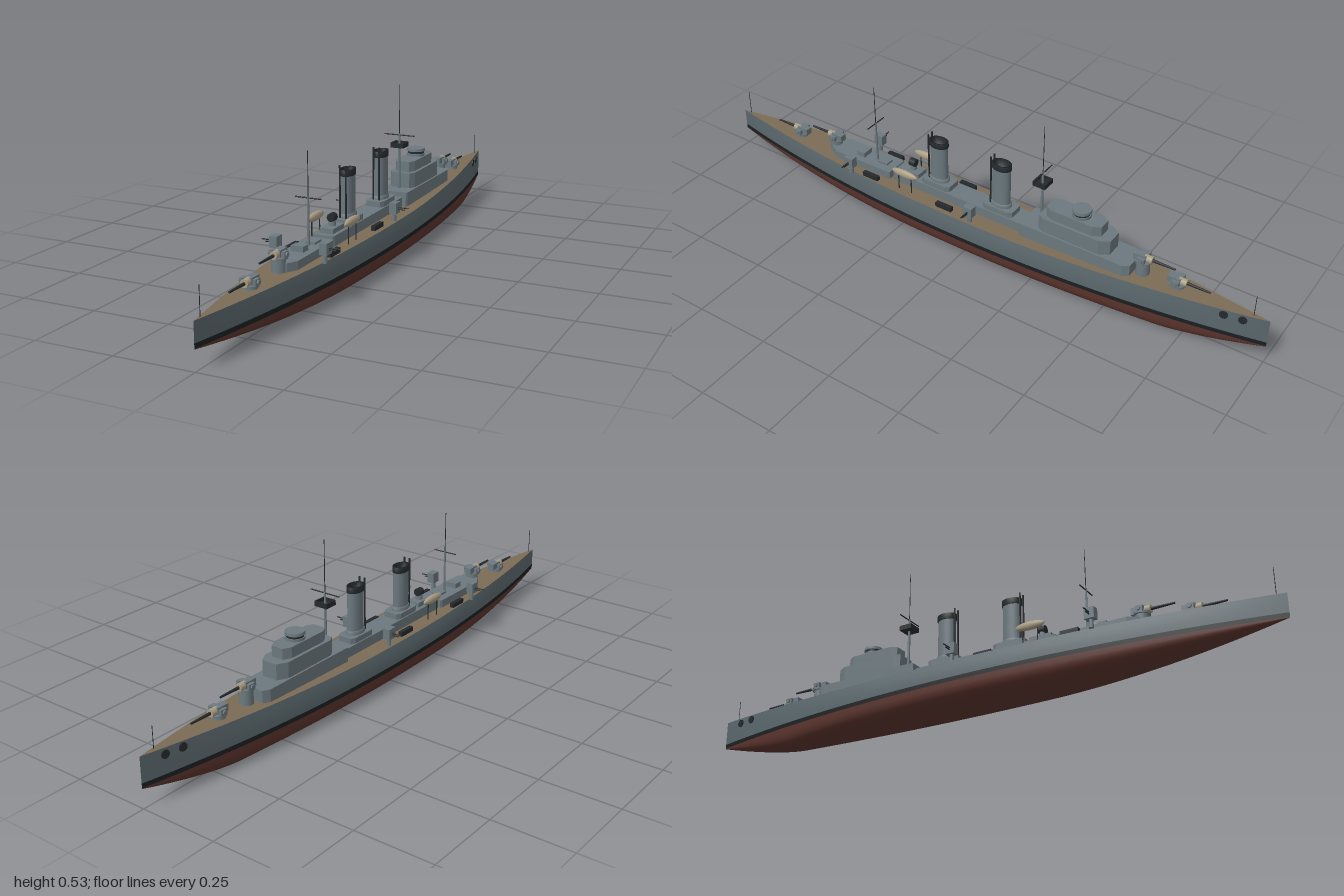
import * as THREE from 'three';

const mat = (color, extra = {}) => new THREE.MeshStandardMaterial({ color, ...extra });
const M = {
  hull: mat(0x59666b), grey: mat(0x6b787e), dark: mat(0x25292c), boot: mat(0x1b1f21),
  red: mat(0x5a332c), deck: mat(0x7a6b55), canvas: mat(0xa89c82),
};

// Hull lines: bow towards -z, pointed stern towards +z
const halfWidth = z => 0.102 * Math.max(0, 1 - Math.abs(z) ** 2.1);
const deckY = z => 0.135 + 0.021 * (Math.max(0, -z - 0.15) / 0.85) ** 1.3;
const keelY = z => z < 0
  ? 0.06 * (Math.max(0, -z - 0.68) / 0.32) ** 1.4
  : 0.06 * (Math.max(0, z - 0.25) / 0.75) ** 1.8;
const sideX = (z, t) => halfWidth(z) * (1 - 0.1 * t * t);

function add(parent, name, geo, material, x = 0, y = 0, z = 0) {
  const m = new THREE.Mesh(geo, material);
  m.name = name;
  m.position.set(x, y, z);
  parent.add(m);
  return m;
}
// Box given by its bottom and top heights and its z range
const box = (p, name, w, y0, y1, z0, z1, material = M.grey, x = 0) =>
  add(p, name, new THREE.BoxGeometry(w, y1 - y0, z1 - z0), material, x, (y0 + y1) / 2, (z0 + z1) / 2);
const post = (p, name, r0, r1, y0, y1, z, material = M.grey, x = 0, n = 16) =>
  add(p, name, new THREE.CylinderGeometry(r1, r0, y1 - y0, n), material, x, (y0 + y1) / 2, z);

// Skin through cross-sections taken along z
function loft(section, steps = 80) {
  const pos = [], idx = [];
  let n = 0;
  for (let i = 0; i <= steps; i++) {
    const z = -Math.cos(Math.PI * i / steps);
    const pts = section(z);
    n = pts.length;
    for (const [x, y] of pts) pos.push(x, y, z);
  }
  for (let i = 0; i < steps; i++) for (let j = 0; j < n - 1; j++) {
    const a = i * n + j, b = a + n;
    idx.push(a, b, a + 1, b, b + 1, a + 1);
  }
  const g = new THREE.BufferGeometry();
  g.setAttribute('position', new THREE.Float32BufferAttribute(pos, 3));
  g.setIndex(idx);
  g.computeVertexNormals();
  return g;
}

function buildHull(g) {
  add(g, 'hullBottom', loft(z => {
    const pts = [], k = Math.min(keelY(z), 0.06);
    for (let j = 0; j <= 24; j++) {
      const a = Math.PI / 2 * (1 - j / 12);
      const s = Math.sin(a), c = Math.max(0, Math.cos(a));
      pts.push([halfWidth(z) * Math.sign(s) * Math.abs(s) ** 0.65, k + (0.062 - k) * (1 - c ** 0.65)]);
    }
    return pts;
  }), M.red);
  for (const s of [1, -1]) {
    const order = a => (s > 0 ? a : a.reverse());
    add(g, 'waterlineBand', loft(z => order([[s * halfWidth(z), 0.076], [s * halfWidth(z), 0.062]])), M.boot);
    add(g, 'hullSide', loft(z => order([1, 0.75, 0.5, 0.25, 0].map(t =>
      [s * sideX(z, t), 0.076 + (deckY(z) - 0.076) * t]))), M.hull);
    // Anchor recesses at the bow
    for (const z of [-0.87, -0.925]) {
      const d = add(g, 'anchorRecess', new THREE.CylinderGeometry(0.013, 0.013, 0.006, 16), M.dark,
        s * sideX(z, 0.8), 0.135, z);
      d.rotation.set(0, s * 0.2, Math.PI / 2);
    }
  }
  add(g, 'deck', loft(z => [-1, 0, 1].map(t => [t * sideX(z, 1), deckY(z)])), M.deck);
}

// Deckhouse with chamfered ends: outline in plan, raised
function house(g, name, w, y0, y1, z0, z1, c0, c1, material = M.grey) {
  const h = w / 2, s = new THREE.Shape([
    [-h + c0, -z0], [-h, -z0 - c0 * 1.8], [-h, -z1 + c1 * 1.8], [-h + c1, -z1],
    [h - c1, -z1], [h, -z1 + c1 * 1.8], [h, -z0 - c0 * 1.8], [h - c0, -z0],
  ].map(p => new THREE.Vector2(...p)));
  const geo = new THREE.ExtrudeGeometry(s, { depth: y1 - y0, bevelEnabled: false });
  geo.rotateX(-Math.PI / 2);
  return add(g, name, geo, material, 0, y0, 0);
}

// Main gun facing +z before turning
function mainGun(g, y, z, base, dir) {
  const gun = new THREE.Group();
  gun.name = 'mainGun';
  post(gun, 'gunPedestal', 0.022, 0.02, base - y, -0.008, 0);
  add(gun, 'gunTurntable', new THREE.CylinderGeometry(0.026, 0.026, 0.006, 20), M.grey, 0, -0.009, 0);
  box(gun, 'gunBreech', 0.024, -0.008, 0.014, -0.03, 0.012);
  const ears = add(gun, 'gunTrunnion', new THREE.CylinderGeometry(0.007, 0.007, 0.06, 12), M.grey, 0, 0.002, 0);
  ears.rotation.z = Math.PI / 2;
  for (const s of [1, -1]) box(gun, 'gunShieldSide', 0.01, -0.008, 0.011, -0.012, 0.012, M.grey, s * 0.02);
  const sleeve = add(gun, 'gunSleeve', new THREE.CylinderGeometry(0.012, 0.012, 0.026, 16), M.canvas, 0, 0.003, 0.017);
  sleeve.rotation.x = Math.PI / 2;
  const barrel = add(gun, 'gunBarrel', new THREE.CylinderGeometry(0.003, 0.005, 0.08, 10), M.dark, 0, 0.003, 0.063);
  barrel.rotation.x = Math.PI / 2;
  gun.position.set(0, y, z);
  gun.rotation.y = dir > 0 ? 0 : Math.PI;
  g.add(gun);
}

// Broadside gun pointing outboard
function sideGun(g, s, z) {
  post(g, 'sideGunPedestal', 0.008, 0.006, 0.133, 0.165, z, M.grey, s * 0.078, 10);
  box(g, 'sideGunShield', 0.024, 0.16, 0.195, z - 0.016, z + 0.016, M.grey, s * 0.08);
  for (const [y, l] of [[0.179, 0.036], [0.173, 0.024]]) {
    const b = add(g, 'sideGunBarrel', new THREE.CylinderGeometry(0.002, 0.002, l, 8), M.dark, s * (0.09 + l / 2), y, z);
    b.rotation.z = Math.PI / 2;
  }
}

// Oval funnel with open dark cap and steam pipes on its after side
function funnel(g, z, top) {
  house(g, 'funnelBase', 0.062, 0.16, 0.185, z - 0.055, z + 0.055, 0.008, 0.008);
  const oval = (name, pts, m) => {
    const f = add(g, name, new THREE.LatheGeometry(pts.map(p => new THREE.Vector2(...p)), 28), m, 0, 0, z);
    f.scale.x = 0.68;
  };
  oval('funnel', [[0.031, 0.18], [0.031, top - 0.02]], M.grey);
  oval('funnelCap', [[0.031, top - 0.02], [0.034, top - 0.018], [0.034, top], [0.027, top], [0.027, top - 0.03], [0, top - 0.03]], M.dark);
  oval('funnelFoot', [[0.036, 0.185], [0.036, 0.195], [0.031, 0.197]], M.grey);
  for (const s of [1, -1]) post(g, 'steamPipe', 0.003, 0.003, 0.18, top + 0.015, z + 0.034, M.dark, s * 0.01, 8);
}

function yard(g, z, y, half) {
  const m = add(g, 'yard', new THREE.CylinderGeometry(0.002, 0.002, half * 2, 8), M.dark, 0, y, z);
  m.rotation.z = Math.PI / 2;
}

export function createModel() {
  const g = new THREE.Group();
  g.name = 'warship';
  buildHull(g);

  // Forward superstructure and bridge
  house(g, 'forwardHouse', 0.1, 0.13, 0.182, -0.57, -0.19, 0.012, 0.004);
  house(g, 'bridgeLower', 0.088, 0.18, 0.232, -0.495, -0.25, 0.018, 0.012);
  house(g, 'bridgeUpper', 0.068, 0.23, 0.266, -0.46, -0.27, 0.014, 0.012);
  post(g, 'rangefinderBase', 0.03, 0.03, 0.264, 0.274, -0.38, M.grey, 0, 24);
  post(g, 'rangefinderBand', 0.027, 0.027, 0.274, 0.282, -0.38, M.dark, 0, 24);
  post(g, 'rangefinderTop', 0.031, 0.03, 0.282, 0.291, -0.38, M.grey, 0, 24);

  // Midship and after houses
  house(g, 'midshipHouse', 0.07, 0.13, 0.167, -0.19, 0.31, 0.004, 0.004);
  house(g, 'afterHouse', 0.084, 0.13, 0.161, 0.32, 0.575, 0.004, 0.018);
  box(g, 'afterSkylight', 0.03, 0.16, 0.168, 0.35, 0.39);
  box(g, 'afterLocker', 0.04, 0.16, 0.178, 0.44, 0.47);
  funnel(g, -0.093, 0.341);
  funnel(g, 0.145, 0.333);

  // Searchlight stand between the boats
  box(g, 'searchlightBase', 0.045, 0.165, 0.182, 0.215, 0.29);
  post(g, 'searchlightPost', 0.012, 0.01, 0.18, 0.2, 0.25);
  const lamp = add(g, 'searchlight', new THREE.CylinderGeometry(0.013, 0.013, 0.022, 16), M.dark, 0, 0.207, 0.25);
  lamp.rotation.x = Math.PI / 2;

  // Masts, yards and lookout platform
  post(g, 'foreMast', 0.005, 0.0035, 0.18, 0.366, -0.24, M.grey, 0, 10);
  post(g, 'foreTopmast', 0.0015, 0.001, 0.366, 0.53, -0.24, M.dark, 0, 6);
  yard(g, -0.24, 0.362, 0.053);
  box(g, 'lookoutFloor', 0.046, 0.322, 0.327, -0.262, -0.218, M.dark);
  for (const s of [1, -1]) {
    box(g, 'lookoutRail', 0.003, 0.327, 0.338, -0.262, -0.218, M.dark, s * 0.0215);
    box(g, 'lookoutRail', 0.046, 0.327, 0.338, -0.24 + s * 0.0205 - 0.0015, -0.24 + s * 0.0205 + 0.0015, M.dark);
  }
  post(g, 'mainMast', 0.004, 0.003, 0.16, 0.305, 0.4, M.grey, 0, 10);
  post(g, 'mainTopmast', 0.0015, 0.001, 0.305, 0.44, 0.4, M.dark, 0, 6);
  yard(g, 0.4, 0.302, 0.042);
  post(g, 'jackstaff', 0.001, 0.001, 0.15, 0.225, -0.95, M.dark, 0, 6);
  post(g, 'ensignStaff', 0.001, 0.001, 0.13, 0.22, 0.97, M.dark, 0, 6);

  // Main guns: a raised and a lower one at each end
  mainGun(g, 0.2, -0.595, 0.138, -1);
  mainGun(g, 0.168, -0.71, 0.145, -1);
  mainGun(g, 0.185, 0.575, 0.13, 1);
  mainGun(g, 0.153, 0.73, 0.13, 1);

  // Mirrored side fittings
  for (const s of [1, -1]) {
    sideGun(g, s, -0.025);
    sideGun(g, s, 0.45);
    for (const z of [0.08, 0.375]) box(g, 'deckLocker', 0.014, 0.133, 0.15, z - 0.03, z + 0.03, M.dark, s * 0.068);
    const boat = add(g, 'boat', new THREE.SphereGeometry(1, 20, 12), M.canvas, s * 0.061, 0.2, 0.24);
    boat.scale.set(0.0105, 0.014, 0.05);
    for (const z of [0.215, 0.265]) {
      post(g, 'boatDavit', 0.002, 0.002, 0.133, 0.19, z, M.dark, s * 0.061, 6);
    }
  }
  return g;
}
